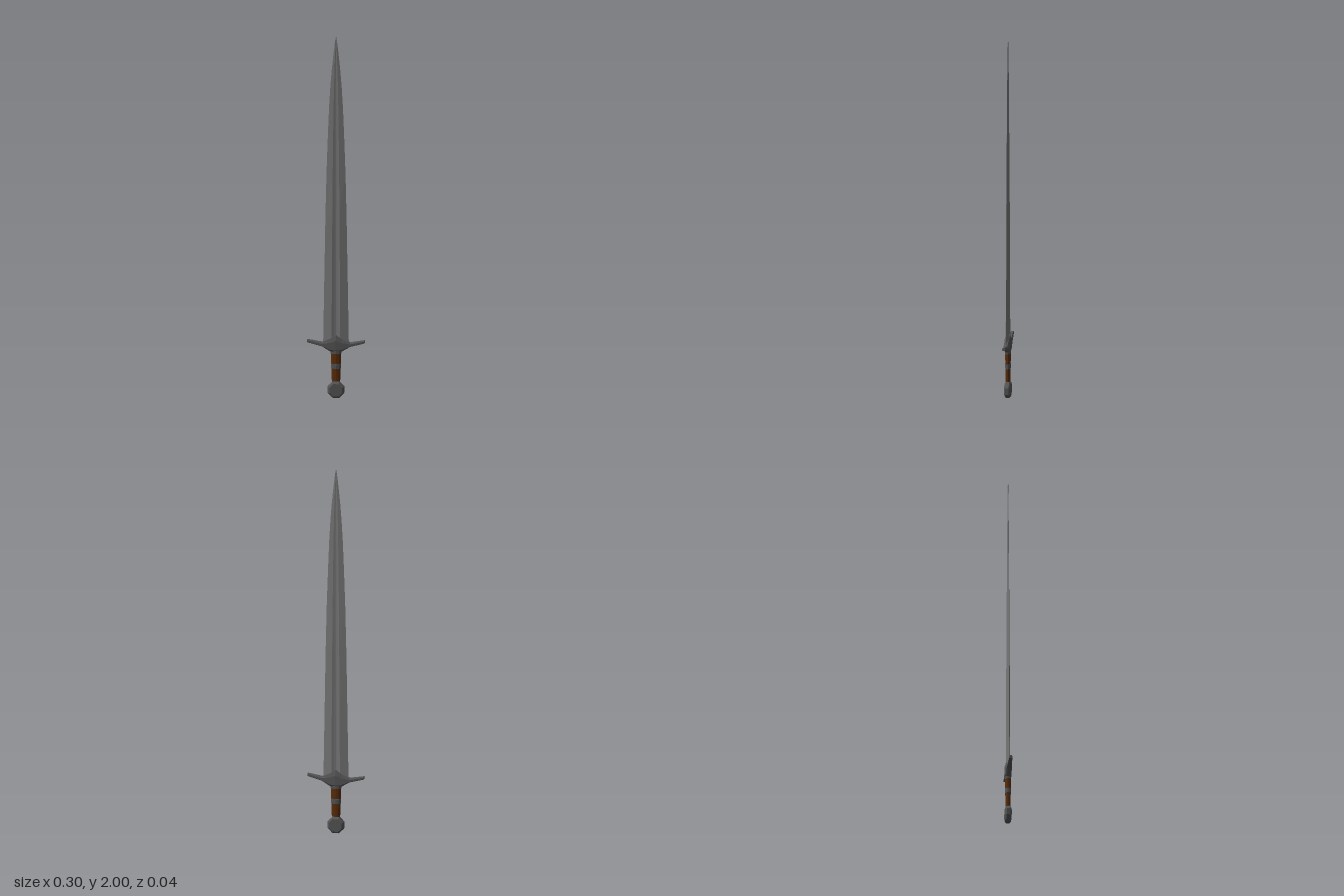
import * as THREE from 'three';

const mat = (name, color) => {
  const m = new THREE.MeshStandardMaterial({ color, flatShading: true });
  m.name = name;
  return m;
};

// Skin a list of closed cross-sections and cap both ends with a fan
function loft(rings) {
  const pos = [];
  const tri = (...pts) => pts.forEach(p => pos.push(...p));
  const middle = ring => [0, 1, 2].map(k => ring.reduce((s, p) => s + p[k], 0) / ring.length);
  const last = rings[rings.length - 1];
  const n = last.length;
  for (let j = 0; j < n; j++) {
    const k = (j + 1) % n;
    for (let i = 0; i < rings.length - 1; i++) {
      const a = rings[i], b = rings[i + 1];
      tri(a[j], a[k], b[k]);
      tri(a[j], b[k], b[j]);
    }
    tri(middle(rings[0]), rings[0][k], rings[0][j]);
    tri(middle(last), last[j], last[k]);
  }
  const g = new THREE.BufferGeometry();
  g.setAttribute('position', new THREE.Float32BufferAttribute(pos, 3));
  g.computeVertexNormals();
  return g;
}

export function createModel() {
  const group = new THREE.Group();
  const steel = mat('bladeSteel', 0x777777);
  const iron = mat('darkIron', 0x555555);
  const leather = mat('brownLeather', 0x5a2e0a);
  const add = (name, geometry, material) => {
    const mesh = new THREE.Mesh(geometry, material);
    mesh.name = name;
    group.add(mesh);
    return mesh;
  };

  // Blade: [height, half width, half thickness], with a shallow central fuller
  const bladeStations = [
    [0.29, 0.068, 0.009], [0.65, 0.062, 0.008], [1.0, 0.056, 0.007], [1.25, 0.05, 0.0055],
    [1.45, 0.043, 0.0045], [1.6, 0.037, 0.004], [1.72, 0.03, 0.0032], [1.82, 0.022, 0.0026],
    [1.91, 0.0125, 0.002], [1.96, 0.0065, 0.0012], [2.0, 0.0004, 0.0002],
  ];
  add('blade', loft(bladeStations.map(([y, w, t]) => {
    const half = [[1, 0], [0.34, 1], [0.14, 0.6], [0, 0.45], [-0.14, 0.6], [-0.34, 1]];
    const back = half.map(([x, z]) => [x * w, y, -z * t]);
    const front = half.map(([x, z]) => [-x * w, y, z * t]);
    return [...back, ...front];
  })), steel);

  // Crossguard: [x, bottom, top, half depth], chamfered along the top and bottom
  const guardHalf = [
    [0.152, 0.303, 0.319, 0.008], [0.075, 0.283, 0.305, 0.013],
    [0.03, 0.256, 0.327, 0.016], [0, 0.25, 0.346, 0.0185],
  ];
  const guardStations = [
    ...guardHalf.map(([x, ...rest]) => [-x, ...rest]),
    ...guardHalf.slice(0, -1).reverse(),
  ];
  add('crossguard', loft(guardStations.map(([x, lo, hi, d]) => {
    const c = (hi - lo) * 0.3, e = d * 0.6;
    return [[x, hi, -e], [x, hi, e], [x, hi - c, d], [x, lo + c * 0.5, d],
      [x, lo, e], [x, lo, -e], [x, lo + c * 0.5, -d], [x, hi - c, -d]];
  })), iron);

  // Grip: two oval leather sections separated by a metal ring
  const oval = (name, y0, y1, r0, r1, depth, material) => {
    const g = new THREE.CylinderGeometry(r1, r0, y1 - y0, 10);
    g.scale(1, 1, depth / Math.max(r0, r1));
    add(name, g, material).position.y = (y0 + y1) / 2;
  };
  oval('upperGrip', 0.185, 0.26, 0.027, 0.029, 0.0155, leather);
  oval('lowerGrip', 0.09, 0.165, 0.023, 0.026, 0.014, leather);
  oval('gripRing', 0.162, 0.188, 0.0275, 0.0285, 0.0165, iron);
  oval('gripCollar', 0.244, 0.262, 0.03, 0.031, 0.0165, iron);

  // Pommel: octagonal disc with bevelled faces
  const discProfile = [[0, -0.0165], [0.037, -0.0165], [0.047, -0.009],
    [0.047, 0.009], [0.037, 0.0165], [0, 0.0165]].map(p => new THREE.Vector2(...p));
  const disc = new THREE.LatheGeometry(discProfile, 8);
  disc.rotateY(Math.PI / 8);
  disc.rotateX(Math.PI / 2);
  add('pommel', disc, iron).position.y = 0.0435 + 0.004;

  // Rest the pommel's lowest flat on the ground
  const lift = -new THREE.Box3().setFromObject(group, true).min.y;
  group.getObjectByName('pommel').position.y += lift;
  return group;
}
